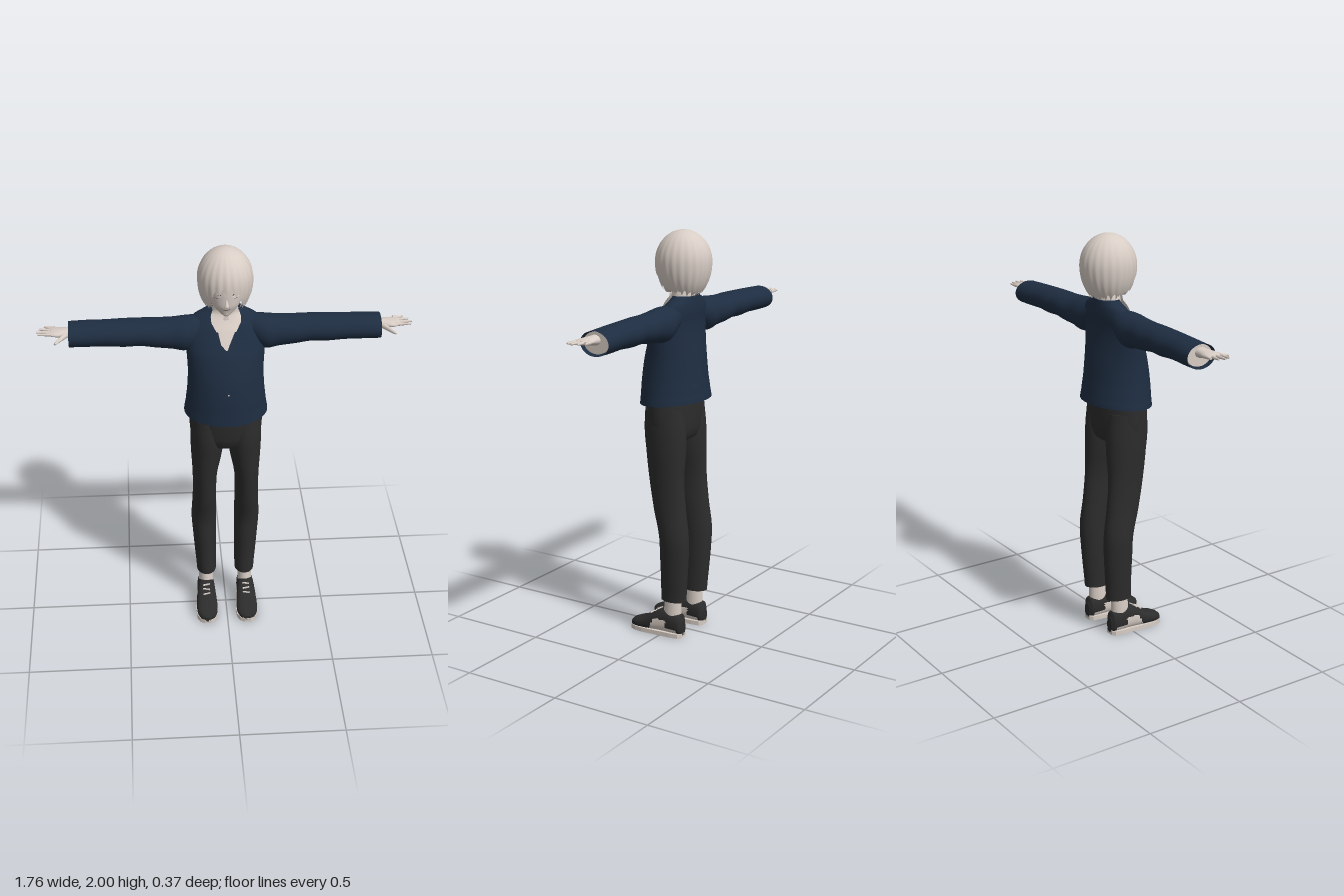
import * as THREE from 'three';

const mat = (name, color, double) => {
  const m = new THREE.MeshStandardMaterial({ color });
  m.name = name;
  if (double) m.side = THREE.DoubleSide;
  return m;
};

// Smoothly resample control rings [t, centreU, centreV, radiusU, radiusV]
function smooth(rings, sub = 4) {
  const out = [], last = rings.length - 1;
  for (let i = 0; i < last; i++) {
    const a = rings[Math.max(i - 1, 0)], b = rings[i], c = rings[i + 1], d = rings[Math.min(i + 2, last)];
    for (let s = 0; s < sub; s++) {
      const k = s / sub;
      out.push(b.map((p, n) => {
        if (n === 0) return p + (c[0] - p) * k;
        const cubic = 3 * (p - c[n]) + d[n] - a[n];
        const square = 2 * a[n] - 5 * p + 4 * c[n] - d[n];
        return p + 0.5 * k * (c[n] - a[n] + k * (square + k * cubic));
      }));
    }
  }
  return [...out, rings[last]];
}

function fromIndexed(pos, index) {
  const g = new THREE.BufferGeometry();
  g.setAttribute('position', new THREE.Float32BufferAttribute(pos, 3));
  g.setIndex(index);
  g.computeVertexNormals();
  return g;
}

// Skin superelliptic rings along axis 0 = x (u = y, v = z), 1 = y (u = z, v = x), 2 = z (u = x, v = y)
function loft(rings, axis, { power = 2, seg = 36, start = true, end = true } = {}) {
  const pos = [], index = [];
  const put = (t, u, v) => {
    const p = [0, 0, 0];
    p[axis] = t; p[(axis + 1) % 3] = u; p[(axis + 2) % 3] = v;
    pos.push(...p);
  };
  const ringAt = r => {
    for (let j = 0; j < seg; j++) {
      const a = j / seg * Math.PI * 2, c = Math.cos(a), s = Math.sin(a), e = 2 / power;
      put(r[0], r[1] + r[3] * Math.sign(c) * Math.abs(c) ** e, r[2] + r[4] * Math.sign(s) * Math.abs(s) ** e);
    }
  };
  rings.forEach(ringAt);
  for (let i = 0; i < rings.length - 1; i++) for (let j = 0; j < seg; j++) {
    const a = i * seg + j, b = i * seg + (j + 1) % seg;
    index.push(a, b, b + seg, a, b + seg, a + seg);
  }
  const cap = (r, flip) => {
    const base = pos.length / 3;
    ringAt(r);
    put(r[0], r[1], r[2]);
    for (let j = 0; j < seg; j++) {
      const a = base + j, b = base + (j + 1) % seg, c = base + seg;
      index.push(...(flip ? [b, a, c] : [a, b, c]));
    }
  };
  if (start) cap(rings[0], true);
  if (end) cap(rings[rings.length - 1], false);
  return fromIndexed(pos, index);
}

// Front z of an upright loft at x, y
function frontZ(rings, x, y) {
  let i = 0;
  while (i < rings.length - 2 && rings[i + 1][0] < y) i++;
  const k = THREE.MathUtils.clamp((y - rings[i][0]) / (rings[i + 1][0] - rings[i][0]), 0, 1);
  const r = rings[i].map((p, n) => p + (rings[i + 1][n] - p) * k);
  return r[1] + r[3] * Math.sqrt(Math.max(0, 1 - ((x - r[2]) / r[4]) ** 2));
}

// Thin panel hugging the front of a loft; rows [y, xMin, xMax] run upward
function panel(rings, rows, offset) {
  const cols = 8, fine = [], pos = [], index = [];
  rows.slice(1).forEach((r, i) => {
    for (let s = 0; s < 4; s++) fine.push(rows[i].map((p, n) => p + (r[n] - p) * s / 4));
  });
  fine.push(rows[rows.length - 1]);
  fine.forEach(([y, x0, x1], i) => {
    for (let j = 0; j <= cols; j++) {
      const x = x0 + (x1 - x0) * j / cols;
      pos.push(x, y, frontZ(rings, x, y) + offset);
      if (i && j) {
        const d = i * (cols + 1) + j, b = d - cols - 1;
        index.push(b - 1, b, d, b - 1, d, d - 1);
      }
    }
  });
  return fromIndexed(pos, index);
}

// Tapered rod between two points
function rod(a, b, ra, rb) {
  const p = new THREE.Vector3(...a), q = new THREE.Vector3(...b), dir = q.clone().sub(p);
  const g = new THREE.CylinderGeometry(rb, ra, dir.length(), 10);
  g.applyQuaternion(new THREE.Quaternion().setFromUnitVectors(new THREE.Vector3(0, 1, 0), dir.normalize()));
  return g.translate(...p.add(q).multiplyScalar(0.5).toArray());
}

function mirror(geo) {
  const g = geo.clone().scale(-1, 1, 1), ix = g.index.array;
  for (let i = 0; i < ix.length; i += 3) [ix[i], ix[i + 1]] = [ix[i + 1], ix[i]];
  g.computeVertexNormals();
  return g;
}

// Sort triangles into two material groups by a test on their centre
function split(g, test) {
  const p = g.attributes.position, ix = g.index.array, sets = [[], []];
  for (let i = 0; i < ix.length; i += 3) {
    const t = [ix[i], ix[i + 1], ix[i + 2]];
    const [y, z] = ['getY', 'getZ'].map(f => t.reduce((s, v) => s + p[f](v), 0) / 3);
    sets[test(y, z) ? 1 : 0].push(...t);
  }
  g.setIndex([...sets[0], ...sets[1]]);
  g.addGroup(0, sets[0].length, 0);
  g.addGroup(sets[0].length, sets[1].length, 1);
  return g;
}

// Domed hair shell with ridges and a jagged hem
function hairShell(size, teeth, drop) {
  const nu = 176, nv = 18, pos = [], index = [], lerp = THREE.MathUtils.mapLinear;
  for (let j = 0; j < nu; j++) {
    const a = j / nu * Math.PI * 2, f = Math.min(a, Math.PI * 2 - a);
    const hem = f < 0.5 ? lerp(f, 0, 0.5, 1.86, 1.835) : f < 0.85 ? lerp(f, 0.5, 0.85, 1.835, 1.745) : lerp(f, 0.85, Math.PI, 1.745, 1.715);
    const wave = Math.abs((j * teeth / nu) % 1 * 2 - 1);
    const tip = hem - drop - 0.034 * wave * (0.7 + 0.3 * Math.sin(j * 0.9));
    const tMax = Math.acos((tip - 1.85) / 0.19);
    for (let i = 0; i <= nv; i++) {
      const t = tMax * i / nv, c = Math.cos(t), r = size * Math.sin(t) * (1 + 0.03 * (wave - 0.5) * i / nv);
      pos.push(0.129 * r * Math.sin(a), 1.85 + (c > 0 ? 0.15 : 0.19) * size * c, -0.048 + 0.136 * r * Math.cos(a));
      if (i) {
        const p = j * (nv + 1) + i, q = ((j + 1) % nu) * (nv + 1) + i;
        index.push(p - 1, p, q, p - 1, q, q - 1);
      }
    }
  }
  return fromIndexed(pos, index);
}

export function createModel() {
  const model = new THREE.Group();
  const pale = mat('pale', 0xd8cdc5, true), navy = mat('navy', 0x1e2d41, true);
  const charcoal = mat('charcoal', 0x2c2c2c, true), lash = mat('lash', 0x4a4340), white = mat('eyeWhite', 0xebe7e3);
  const add = (name, geo, m) => {
    const mesh = new THREE.Mesh(geo, m);
    mesh.name = name;
    model.add(mesh);
  };
  const pair = (name, geo, m) => { add(name + 'Left', geo, m); add(name + 'Right', mirror(geo), m); };

  // Jacket body with a hem that dips at the front
  const body = smooth([[1.178, -0.005, 0, 0.16, 0.2], [1.22, -0.004, 0, 0.156, 0.193], [1.3, -0.002, 0, 0.148, 0.184],
    [1.4, -0.005, 0, 0.134, 0.179], [1.5, -0.014, 0, 0.11, 0.184], [1.57, -0.03, 0, 0.088, 0.186],
    [1.62, -0.045, 0, 0.075, 0.178], [1.66, -0.057, 0, 0.06, 0.145], [1.692, -0.062, 0, 0.05, 0.088]]);
  const jacket = loft(body, 1, { seg: 56, start: false });
  const jp = jacket.attributes.position;
  for (let i = 0; i < jp.count; i++) {
    const w = Math.max(0, (1.3 - jp.getY(i)) / 0.12);
    jp.setY(i, jp.getY(i) - 0.08 * jp.getZ(i) * w);
  }
  jacket.computeVertexNormals();
  add('jacketBody', jacket, navy);
  add('jacketButton', new THREE.SphereGeometry(0.004, 10, 8).translate(0.005, 1.33, frontZ(body, 0, 1.33)), pale);

  // Shirt front, neckband and collar wings
  add('shirtFront', panel(body, [[1.535, -0.003, 0.003], [1.56, -0.026, 0.014], [1.61, -0.038, 0.04], [1.66, -0.058, 0.058], [1.69, -0.055, 0.055]], 0.006), pale);
  add('shirtNeckband', loft([[1.65, -0.047, 0, 0.058, 0.066], [1.69, -0.048, 0, 0.057, 0.062], [1.718, -0.05, 0, 0.052, 0.055]], 1, { start: false, end: false }), pale);
  pair('collarWing', panel(body, [[1.615, 0.04, 0.045], [1.65, 0.018, 0.068], [1.675, 0.01, 0.07], [1.705, 0.02, 0.06]], 0.018), pale);

  // Sleeves, cuffs and hands
  pair('sleeve', loft(smooth([[0.1, 1.6, -0.05, 0.06, 0.055], [0.18, 1.575, -0.04, 0.083, 0.08], [0.25, 1.576, -0.04, 0.075, 0.076],
    [0.33, 1.578, -0.044, 0.068, 0.079], [0.4, 1.583, -0.045, 0.064, 0.075], [0.47, 1.581, -0.046, 0.064, 0.078],
    [0.56, 1.582, -0.046, 0.06, 0.074], [0.65, 1.58, -0.05, 0.059, 0.076], [0.73, 1.578, -0.051, 0.057, 0.076]]), 0, { end: false }), navy);
  pair('cuff', loft([[0.66, 1.58, -0.05, 0.05, 0.066], [0.715, 1.58, -0.05, 0.05, 0.066]], 0, { start: false }), pale);
  pair('palm', loft(smooth([[0.69, 1.592, -0.045, 0.026, 0.03], [0.74, 1.594, -0.043, 0.021, 0.032], [0.78, 1.596, -0.04, 0.016, 0.042],
    [0.808, 1.597, -0.043, 0.012, 0.042], [0.82, 1.598, -0.045, 0.007, 0.034]]), 0, { seg: 20 }), pale);
  [[-0.012, -0.012, 0.872], [-0.034, -0.036, 0.88], [-0.055, -0.063, 0.868], [-0.076, -0.088, 0.845]].forEach(([z0, z1, x], i) =>
    pair('finger' + (i + 1), rod([0.795, 1.598, z0], [x, 1.6, z1], 0.0105, 0.004), pale));
  pair('thumb', rod([0.74, 1.59, -0.025], [0.792, 1.582, 0.052], 0.015, 0.005), pale);

  // Neck, head and face
  add('neck', loft([[1.6, -0.06, 0, 0.045, 0.045], [1.78, -0.04, 0, 0.045, 0.043]], 1), pale);
  const skull = smooth([[1.697, 0.036, 0, 0.012, 0.01], [1.705, 0.026, 0, 0.026, 0.025], [1.725, 0.005, 0, 0.052, 0.05], [1.75, -0.012, 0, 0.078, 0.069],
    [1.78, -0.025, 0, 0.094, 0.081], [1.82, -0.035, 0, 0.106, 0.09], [1.88, -0.047, 0, 0.115, 0.102], [1.94, -0.048, 0, 0.09, 0.085], [1.97, -0.048, 0, 0.045, 0.045]]);
  add('head', loft(skull, 1, { seg: 48 }), pale);
  add('nose', new THREE.ConeGeometry(0.011, 0.045, 12).rotateX(-0.3).translate(0, 1.782, 0.07), pale);
  pair('eye', panel(skull, [[1.798, 0.036, 0.054], [1.808, 0.026, 0.066], [1.818, 0.03, 0.066]], 0.002), white);
  pair('iris', panel(skull, [[1.8, 0.042, 0.05], [1.809, 0.037, 0.055], [1.817, 0.041, 0.052]], 0.003), pale);
  pair('upperLash', panel(skull, [[1.815, 0.024, 0.07], [1.822, 0.033, 0.067]], 0.004), lash);
  pair('lowerLash', panel(skull, [[1.796, 0.038, 0.054], [1.798, 0.036, 0.056]], 0.003), lash);
  add('mouth', panel(skull, [[1.737, -0.014, 0.014], [1.74, -0.016, 0.016]], 0.002), lash);

  // Layered hair
  add('hairOuter', hairShell(1, 22, 0), pale);
  add('hairInner', hairShell(0.94, 16, 0.012), pale);

  // Trousers
  add('trouserSeat', loft(smooth([[0.975, -0.006, 0, 0.05, 0.06], [1.0, -0.006, 0, 0.09, 0.13], [1.05, -0.004, 0, 0.109, 0.169],
    [1.17, 0, 0, 0.117, 0.175], [1.25, 0, 0, 0.11, 0.168]]), 1), charcoal);
  pair('trouserLeg', loft(smooth([[0.185, -0.055, 0.097, 0.067, 0.049], [0.3, -0.06, 0.101, 0.07, 0.054], [0.42, -0.063, 0.105, 0.075, 0.059], [0.52, -0.062, 0.108, 0.077, 0.062],
    [0.65, -0.038, 0.105, 0.086, 0.059], [0.8, -0.018, 0.103, 0.093, 0.06], [0.95, -0.009, 0.093, 0.104, 0.077], [1.05, -0.003, 0.09, 0.108, 0.082], [1.15, 0, 0.09, 0.1, 0.08]]), 1, { start: false }), charcoal);

  // Ankles and shoes
  pair('ankle', loft(smooth([[0.08, -0.045, 0.1, 0.05, 0.036], [0.13, -0.05, 0.1, 0.046, 0.036], [0.26, -0.057, 0.1, 0.04, 0.032]]), 1), pale);
  const shoe = [[-0.113, 0.02, 0.085], [-0.1, 0.036, 0.115], [-0.06, 0.043, 0.128], [-0.02, 0.045, 0.135], [0.02, 0.048, 0.124],
    [0.06, 0.051, 0.098], [0.1, 0.053, 0.077], [0.14, 0.05, 0.063], [0.17, 0.036, 0.05], [0.183, 0.014, 0.038]];
  const upper = loft(smooth(shoe.map(([z, w, top]) => [z, 0.102, (top + 0.01) / 2, w, (top - 0.01) / 2])), 2, { power: 2.4, seg: 48 });
  const sidePanel = (y, z) => (y < 0.085 && z > -0.02 - 0.2 * y && z < 0.075 - 0.5 * y) || (y < 0.042 && z > -0.09 && z < 0);
  pair('shoeUpper', split(upper, sidePanel), [charcoal, pale]);
  const outline = [...shoe.map(([z, w]) => new THREE.Vector2(0.104 + w, -z)), ...shoe.map(([z, w]) => new THREE.Vector2(0.1 - w, -z)).reverse()];
  const sole = new THREE.ExtrudeGeometry(new THREE.Shape(outline), { depth: 0.022, bevelEnabled: false }).rotateX(-Math.PI / 2);
  sole.setIndex([...Array(sole.attributes.position.count).keys()]);
  pair('shoeSole', sole, pale);
  for (let i = 0; i < 3; i++) {
    pair('lace' + (i + 1), new THREE.BoxGeometry(0.036, 0.006, 0.006).rotateY(i % 2 ? 0.25 : -0.25).translate(0.102, 0.125 - i * 0.014, 0.023 + i * 0.02), pale);
  }
  return model;
}
